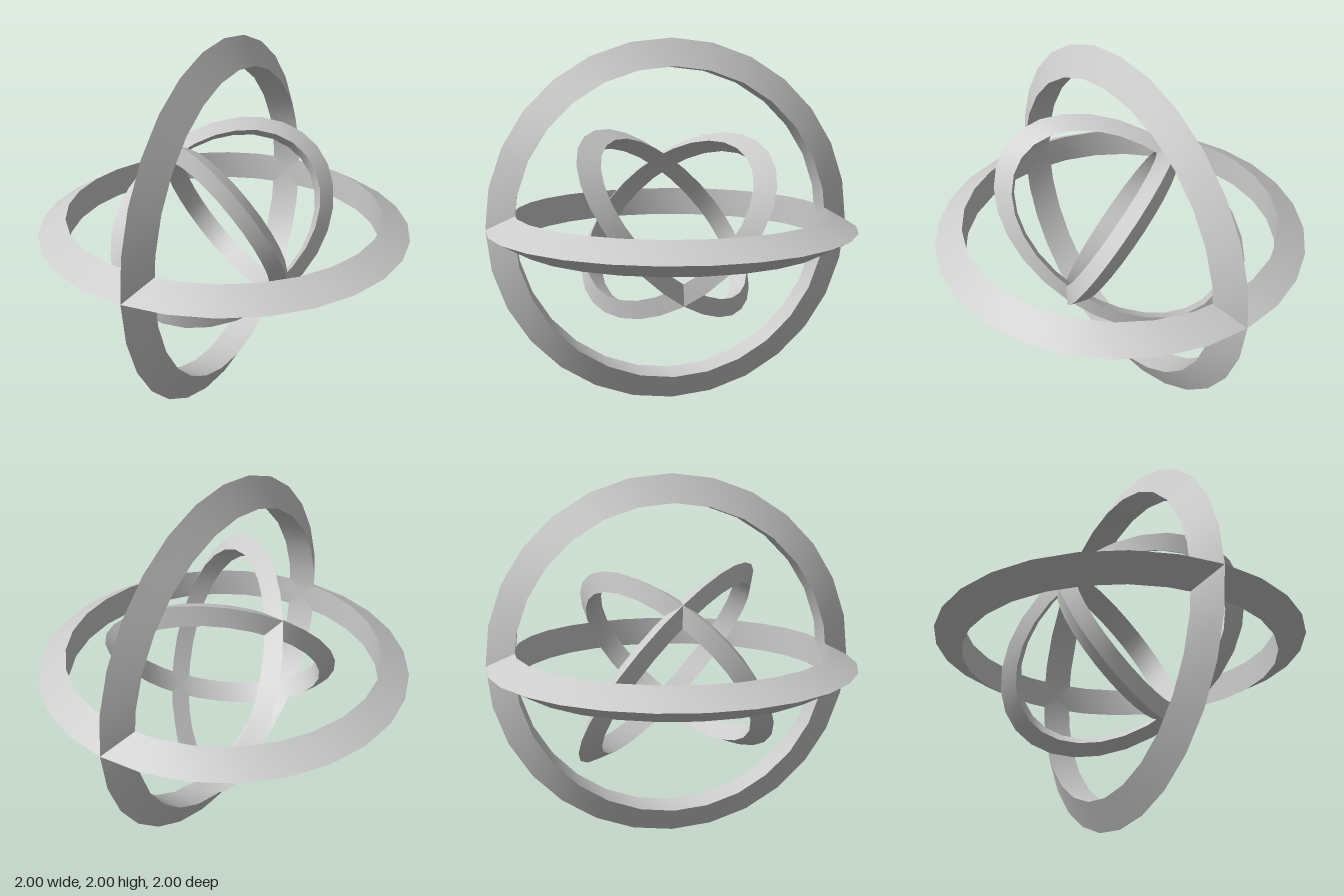
import * as THREE from 'three';
import { toCreasedNormals } from 'three/addons/utils/BufferGeometryUtils.js';

const material = new THREE.MeshStandardMaterial({ color: 0xcccccc });

// Ring of triangular section: flat inside, sharp rim outside
function ringGeometry() {
  const profile = [[0.85, -0.085], [1, 0], [0.85, 0.085], [0.85, -0.085]]
    .map(([r, y]) => new THREE.Vector2(r, y));
  return toCreasedNormals(new THREE.LatheGeometry(profile, 28), 0.5);
}

// Two rings at right angles, crossing on the z axis
function ringPair(name, geometry) {
  const pair = new THREE.Group();
  pair.name = name + 'Rings';
  const flat = new THREE.Mesh(geometry, material);
  flat.name = name + 'FlatRing';
  const upright = new THREE.Mesh(geometry, material);
  upright.name = name + 'UprightRing';
  upright.rotation.z = Math.PI / 2;
  pair.add(flat, upright);
  return pair;
}

export function createModel() {
  const model = new THREE.Group();
  model.name = 'crossedRings';
  const geometry = ringGeometry();

  const outer = ringPair('outer', geometry);
  outer.position.y = 1;

  // Inner pair: stretched to ovals, crossing on a diagonal of the front plane
  const inner = ringPair('inner', geometry);
  inner.position.y = 1;
  inner.scale.set(0.757, 0.677, 0.515);
  const h = Math.SQRT1_2;
  inner.quaternion.setFromRotationMatrix(new THREE.Matrix4().makeBasis(
    new THREE.Vector3(0.5, 0.5, h),
    new THREE.Vector3(0.5, 0.5, -h),
    new THREE.Vector3(-h, h, 0)));

  model.add(outer, inner);
  return model;
}
